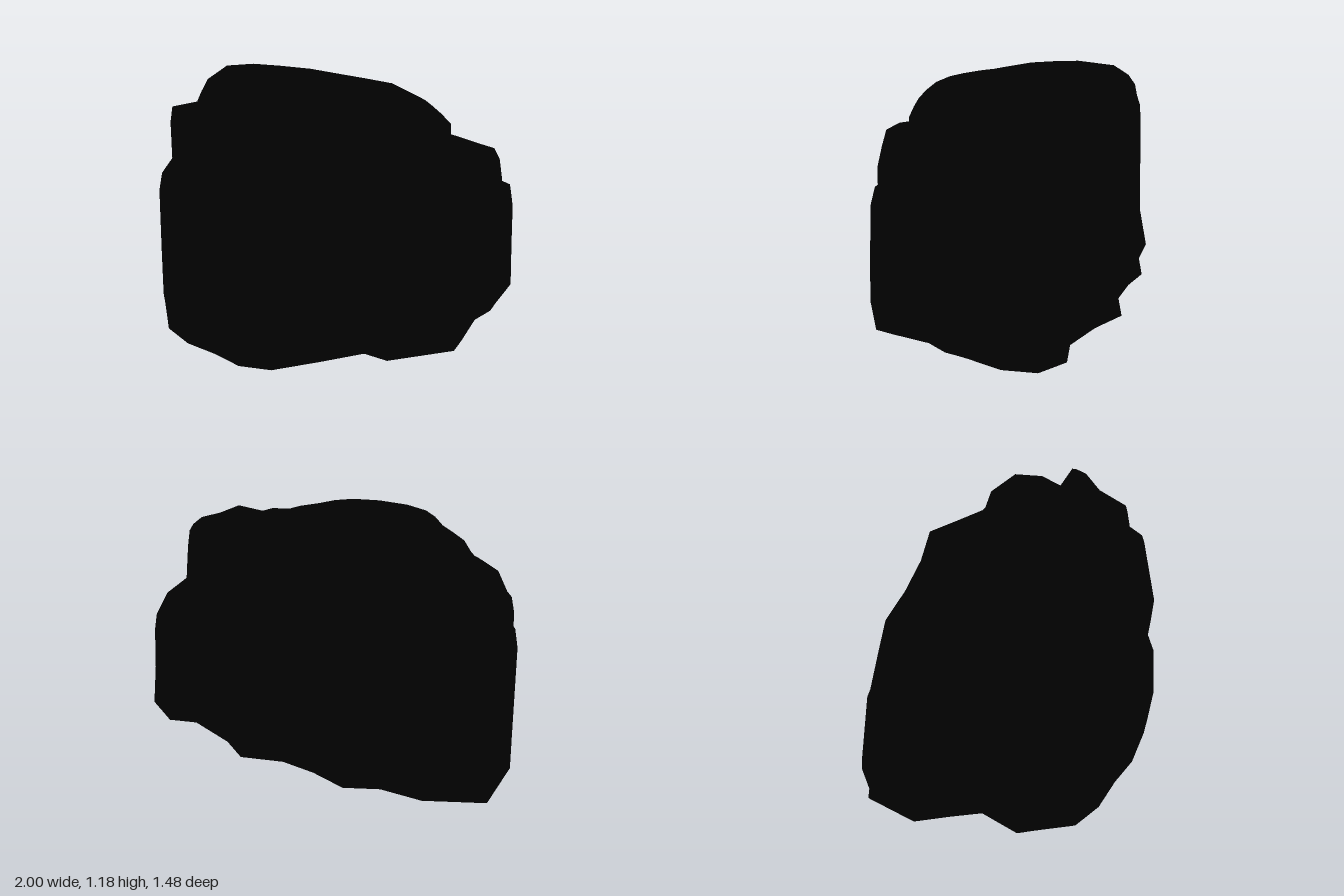
import * as THREE from 'three';

// Foot of the rock wall, clockwise from the back left corner of the plan:
// x, z, foot height, shoulder height, optional width of the ledge behind the shoulder (0 to 1)
const wall = [
  [-0.98, -0.53, 0.09, 0.84], [-0.68, -0.64, 0.08, 0.93], [-0.46, -0.65, 0.08, 0.97],
  [-0.28, -0.71, 0.07, 0.98], [-0.1, -0.68, 0.08, 0.98], [0.08, -0.67, 0.08, 0.98],
  [0.29, -0.74, 0.09, 0.97], [0.43, -0.64, 0.07, 0.92], [0.66, -0.58, 0.08, 0.7],
  [0.81, -0.61, 0.07, 0.64], [0.97, -0.52, 0.08, 0.64], [1.0, -0.35, 0.08, 0.68],
  [0.97, -0.17, 0.09, 0.7], [0.96, -0.12, 0.09, 0.97, 0.8], [0.95, -0.05, 0.09, 0.98, 0.8],
  [0.89, 0.06, 0.09, 0.97, 0.8], [0.87, 0.23, 0.09, 0.95, 0.8], [0.865, 0.27, 0.09, 0.75, 0.6],
  [0.85, 0.36, 0.09, 0.73, 0.55], [0.55, 0.54, 0.08, 0.71, 0.32], [0.42, 0.51, 0.07, 0.74, 0.25],
  [0.23, 0.65, 0.07, 0.81], [0, 0.735, 0.02, 0.84], [-0.18, 0.735, 0, 0.83],
  [-0.33, 0.69, 0.005, 0.79, 0.2], [-0.5, 0.66, 0.01, 0.77, 0.3], [-0.65, 0.58, 0.015, 0.76, 0.35],
  [-0.77, 0.38, 0.02, 0.76, 0.4], [-0.82, 0.3, 0.02, 0.78, 0.4], [-0.8, 0.08, 0.05, 0.85, 0.25],
  [-0.89, -0.07, 0.07, 0.91], [-1.0, -0.24, 0.1, 0.92],
];

// Rim of the raised top, one x, z point for each wall column
const rim = [
  [-0.74, -0.43], [-0.62, -0.55], [-0.46, -0.59], [-0.28, -0.63], [-0.1, -0.61], [0.08, -0.61],
  [0.24, -0.61], [0.33, -0.53], [0.43, -0.46], [0.49, -0.42], [0.55, -0.36], [0.57, -0.27],
  [0.57, -0.17], [0.58, -0.12], [0.57, -0.05], [0.55, 0.04], [0.5, 0.12], [0.48, 0.15],
  [0.44, 0.21], [0.35, 0.29], [0.29, 0.36], [0.2, 0.42], [0.05, 0.46], [-0.12, 0.47],
  [-0.25, 0.44], [-0.33, 0.38], [-0.4, 0.3], [-0.44, 0.23], [-0.52, 0.16], [-0.64, 0.06],
  [-0.7, -0.06], [-0.76, -0.2],
];

const CZ = -0.05;
const topHeight = (x, z) => 1.18 - 0.09 * Math.hypot(x + 0.32, (z + 0.32) * (z < -0.32 ? 3 : 1));

// Points of one column, from the foot up to the middle of the top
function column(i) {
  const [x, z, foot, shoulder, width = 0.15] = wall[i];
  const [rx, rz] = rim[i];
  // the back leans in more than the front
  const lean = (sx, front, back, y) => [x * sx, y, CZ + (z - CZ) * (z < CZ ? back : front)];
  const between = (k, y) => [rx + (x - rx) * k, y, rz + (z - rz) * k];
  const onTop = (s, drop) => {
    const px = -0.1 + (rx + 0.1) * s, pz = -0.1 + (rz + 0.1) * s;
    return [px, topHeight(px, pz) - drop, pz];
  };
  const ledge = shoulder + 0.05;
  const bench = Math.max(ledge + 0.01, 0.99);
  return [
    lean(1, 1, 1, foot),
    lean(0.99, 0.99, 0.925, 0.3),
    lean(0.975, 0.97, 0.9, shoulder - 0.1),
    lean(0.955, 0.93, 0.89, shoulder),
    between(width, ledge),
    between(width * 0.8, bench),
    between(0, Math.max(bench + 0.005, 1.05)),
    onTop(0.93, 0.01),
    onTop(0.5, 0),
    [-0.32, 1.18, -0.32],
  ];
}

// Lofts the columns into a closed-top, open-bottom shell
function shell(inset, withLip) {
  const pos = [], index = [], n = wall.length;
  const shrink = ([x, y, z], foot) => [x * (1 - inset), foot + (y - foot) * (1 - inset), CZ + (z - CZ) * (1 - inset)];
  let rows = 0;
  wall.forEach(([x, z, foot], i) => {
    const pts = column(i).map((p) => shrink(p, foot));
    if (withLip) pts.unshift([x * 0.98, foot, CZ + (z - CZ) * 0.98]);
    rows = pts.length;
    pts.forEach((p) => pos.push(...p));
  });
  for (let i = 0; i < n; i++) {
    const j = (i + 1) % n;
    for (let r = 0; r < rows - 1; r++) {
      const a = i * rows + r, b = j * rows + r;
      index.push(a, a + 1, b);
      if (r < rows - 2) index.push(b, a + 1, b + 1);
    }
  }
  const g = new THREE.BufferGeometry();
  g.setAttribute('position', new THREE.Float32BufferAttribute(pos, 3));
  g.setIndex(index);
  g.computeVertexNormals();
  return g;
}

function shellMesh(name, color, inset, withLip) {
  const material = new THREE.MeshStandardMaterial({ color, flatShading: true, side: THREE.DoubleSide });
  const mesh = new THREE.Mesh(shell(inset, withLip), material);
  mesh.name = name;
  return mesh;
}

export function createModel() {
  const group = new THREE.Group();
  group.name = 'rock';
  // Dark outside, with a thin lip around the open bottom
  group.add(shellMesh('outerShell', 0x010101, 0, true));
  // Grey lining seen from below
  group.add(shellMesh('innerLining', 0x6a6a6a, 0.02, false));
  return group;
}
